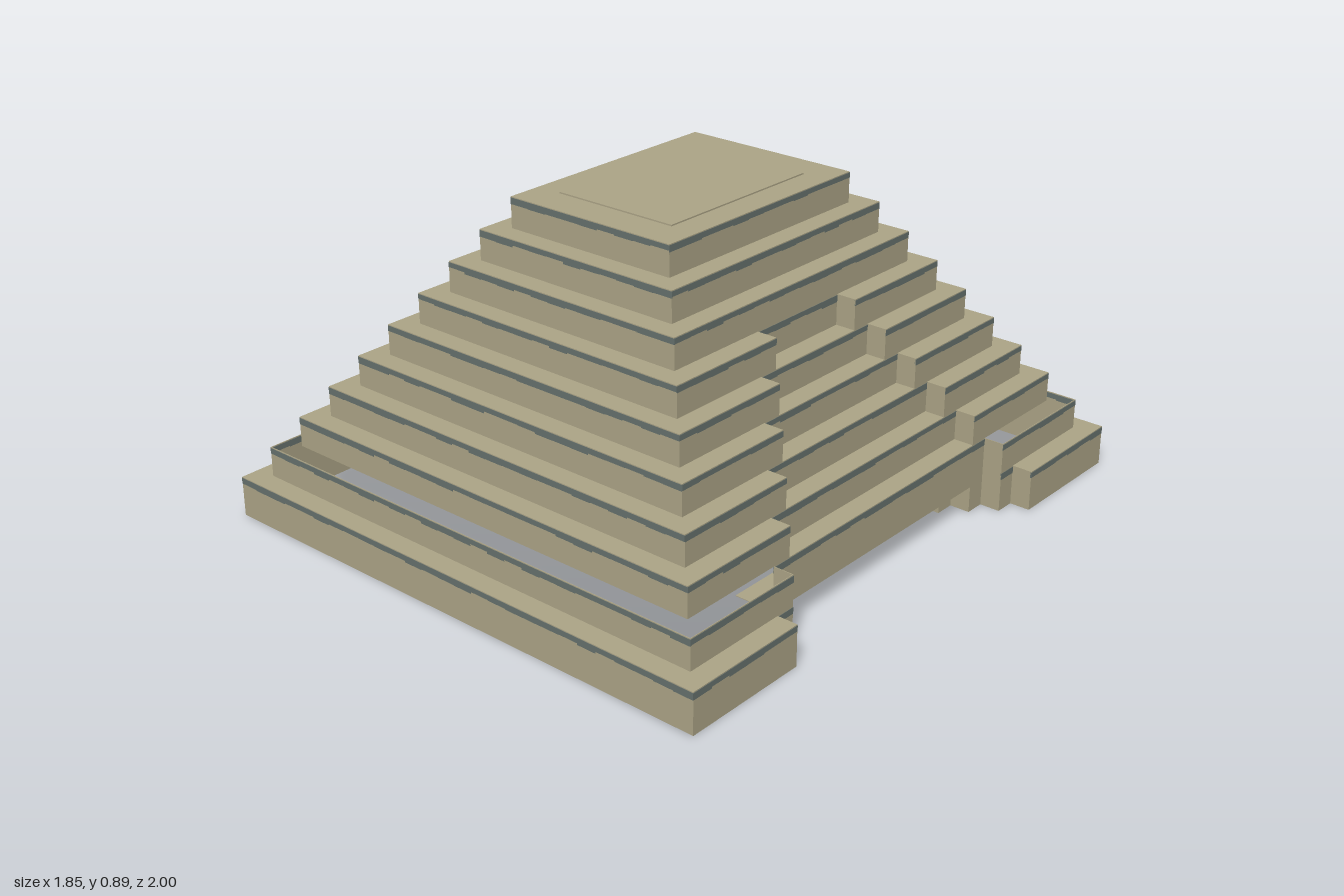
import * as THREE from 'three';

export function createModel() {
  const stone = new THREE.MeshStandardMaterial({ color: 0xaca486 });
  stone.name = 'sandstone';
  const moss = new THREE.MeshStandardMaterial({ color: 0x66716d });
  moss.name = 'weathered edge';

  const model = new THREE.Group();
  model.name = 'steppedPyramid';
  const pyramid = new THREE.Group();
  pyramid.name = 'terraces';
  pyramid.rotation.y = -0.154;
  model.add(pyramid);

  let seed = 7;
  const rand = () => (seed = (seed * 16807) % 2147483647) / 2147483647;

  // Tier dimensions: half width, half depth and top height; T is the shell thickness
  const TIERS = 10, S = 0.0585, T = 0.002;
  const A = i => 0.795 - S * (i - 1);
  const B = i => 0.89 - S * (i - 1);
  const Y = i => (i === 0 ? 0 : 0.115 + 0.0861 * (i - 1));

  function box(name, x0, x1, y0, y1, z0, z1, mat = stone) {
    const g = new THREE.BoxGeometry(Math.abs(x1 - x0), Math.abs(y1 - y0), Math.abs(z1 - z0));
    const m = new THREE.Mesh(g, mat);
    m.name = name;
    m.position.set((x0 + x1) / 2, (y0 + y1) / 2, (z0 + z1) / 2);
    pyramid.add(m);
  }

  // Ragged dark strip along the top of a wall, showing on both of its faces
  function edging(axis, at, sign, from, to, top) {
    const n = Math.max(1, Math.round((to - from) / 0.06));
    const len = (to - from) / n;
    const back = at - sign * (T + 0.001), out = at + sign * 0.001;
    for (let k = 0; k < n; k++) {
      const p = from + k * len, low = top - 0.016 - 0.006 * rand();
      if (axis === 'x') box('edging', back, out, low, top - T - 0.0005, p, p + len, moss);
      else box('edging', p, p + len, low, top - T - 0.0005, back, out, moss);
    }
  }

  // Thin risers facing sideways and endways
  function sideRiser(side, a, y0, y1, z0, z1) {
    box('sideRiser', side * (a - T), side * a, y0, y1, z0, z1);
    edging('x', side * a, side, z0, z1, y1);
  }
  function endRiser(f, b, y0, y1, x) {
    box('endRiser', -x, x, y0, y1, f * (b - T), f * b);
    edging('z', f * b, f, -x, x, y1);
  }
  const tread = (x0, x1, y, z0, z1) => box('tread', x0, x1, y - T, y, z0, z1);

  for (let i = 1; i < TIERS; i++) {
    const a = A(i), b = B(i), a1 = A(i + 1), b1 = B(i + 1), y0 = Y(i - 1), y1 = Y(i);
    const open = i === 2; // this terrace has no tread, leaving a slot around the base

    // Front and back
    for (const f of [-1, 1]) {
      endRiser(f, b, y0, y1, a);
      if (!open) tread(-a, a, y1, f * b1, f * b);
    }

    // Sides: a narrowing recess on the +x flank, a straight one on the other
    for (const side of [-1, 1]) {
      if (i > 7) {
        sideRiser(side, a, y0, y1, -b, b);
        tread(side * a1, side * a, y1, -b1, b1);
        continue;
      }
      const w = side > 0 ? 0.515 - S * (i - 1) : 0.343;
      const next = side > 0 ? w - S : w;
      const first = side > 0 ? 2 : 4;
      const depth = i < first && side < 0 ? A(5) : a1;
      sideRiser(side, a, y0, y1, -b, -w);
      sideRiser(side, a, y0, y1, w, b);
      for (const f of [-1, 1]) {
        if (!open) tread(side * a1, side * a, y1, f * w, f * b1);
        // Cheeks of the recess
        const low = i === 2 && side > 0 ? 0 : y0;
        box('cheek', side * (i === 1 ? a1 : depth), side * a, low, y1, f * w, f * (w + T));
      }
      // Recessed steps; the lowest one is the lintel of the entrance
      if (i >= first) {
        const bottom = i > first ? y0 : side > 0 ? 0.075 : Y(1);
        sideRiser(side, a1, bottom, y1, -w, w);
        tread(side * A(i + 2), side * a1, y1, -Math.max(next, 0.1), Math.max(next, 0.1));
      }
    }
  }

  // Top terrace with a low central slab
  const a = A(TIERS), b = B(TIERS), top = Y(TIERS);
  for (const f of [-1, 1]) {
    endRiser(f, b, Y(TIERS - 1), top, a);
    sideRiser(f, a, Y(TIERS - 1), top, -b, b);
  }
  tread(-a, a, top, -b, b);
  box('topSlab', -0.19, 0.19, top, top + 0.004, -0.265, 0.265);

  // Soffit of the wide entrance, and the low wall beside it
  box('soffit', A(5), A(3), 0.075, 0.075 + T, -0.4565, 0.4565);
  sideRiser(1, A(2), 0, Y(1), 0.4565, 0.515);
  sideRiser(1, A(2), 0, Y(1), -0.515, -0.4565);

  // Stepped jambs leading into each entrance
  for (const [side, w, step, from, h] of [[1, 0.515, S, 2, 0.075], [-1, 0.343, 0.05, 1, Y(1)]]) {
    for (let k = from; k <= 3; k++) for (const f of [-1, 1]) {
      const z = [f * (w - step * (k - 1)), f * (w - step * k)].sort((p, q) => p - q);
      const x = side * A(k + 1);
      box('entranceJamb', x, x - side * S, 0, h, z[0], z[1]);
      if (side < 0) edging('x', x, side, z[0], z[1], h);
    }
  }

  // Thin thresholds across the entrances
  box('threshold', -0.566, -0.56, 0, 0.01, -0.193, 0.193);
  box('threshold', 0.57, 0.576, 0, 0.01, -0.34, 0.34);

  return model;
}
